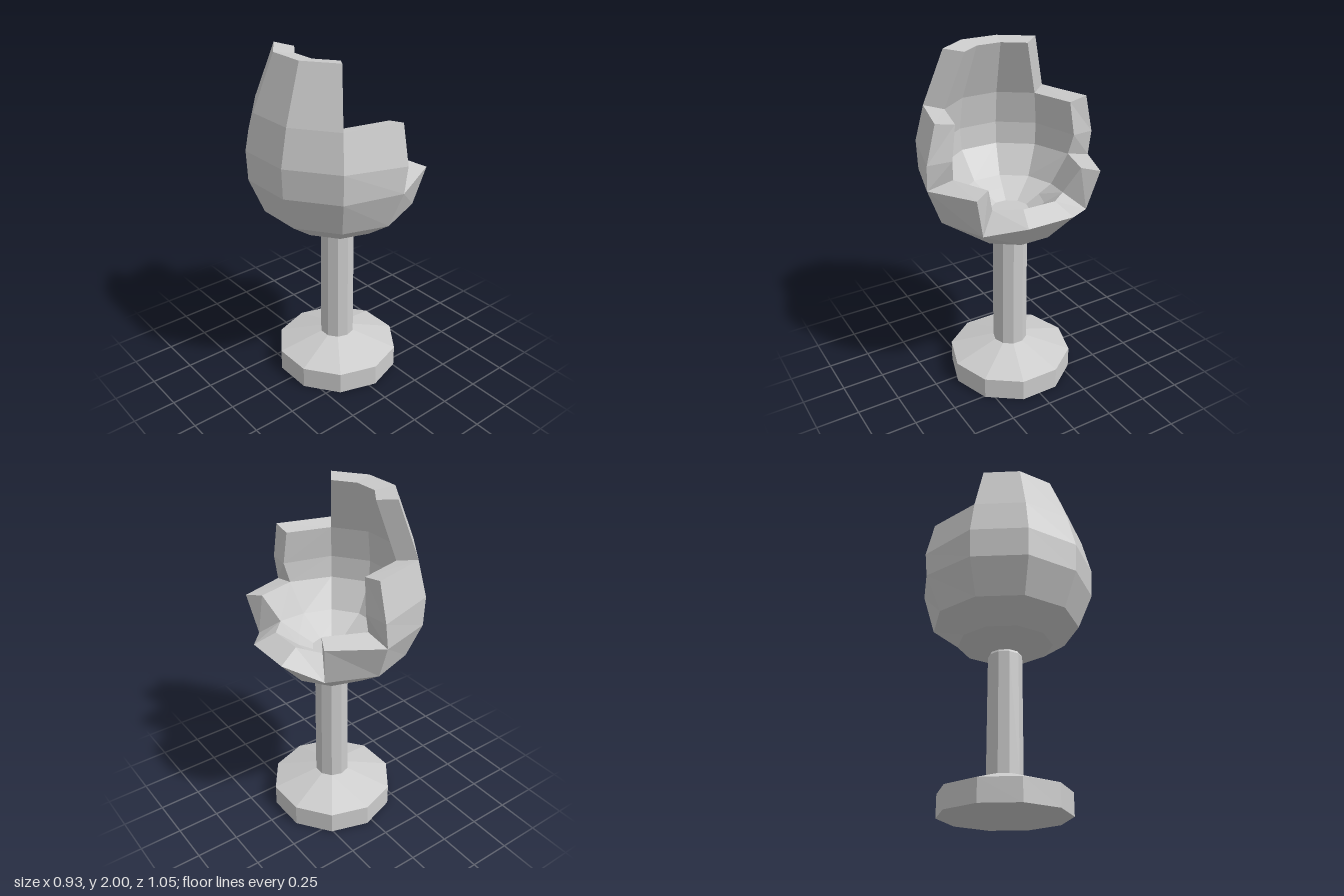
import * as THREE from 'three';

const SIDES = 10, CX = 0.04;
// Shell rings as [height, radius], bottom to top
const OUTER = [[0.94, 0.1], [1.0, 0.28], [1.11, 0.435], [1.315, 0.52], [1.485, 0.527], [1.69, 0.475], [2, 0.355]];
const INNER = [[1.09, 0.11], [1.135, 0.195], [1.18, 0.28], [1.35, 0.375], [1.48, 0.385], [1.67, 0.358], [1.985, 0.24]];
// Topmost ring of each side panel, starting beside the front panel
const TOPS = [2, 3, 5, 6, 6, 6, 5, 3, 2, 2];
// Rim corners pulled out of the regular rings, keyed by corner,ring
const OUTER_RIM = {
  '0,2': [0.465, 1.18, 0.14], '1,2': [0.32, 1.12, 0.33], '1,3': [0.36, 1.355, 0.385],
  '2,3': [0.06, 1.325, 0.52], '2,4': [0.08, 1.475, 0.523], '2,5': [0.085, 1.695, 0.47],
};
const INNER_RIM = {
  '0,2': [0.345, 1.235, 0.1], '1,2': [0.235, 1.215, 0.226], '1,3': [0.31, 1.375, 0.29],
  '2,3': [0.07, 1.36, 0.37], '2,4': [0.1, 1.48, 0.385], '2,5': [0.09, 1.675, 0.358],
};

// Corner k of ring j; corners 5 to 9 mirror 4 to 0 across z
function corner(rings, rim, k, j) {
  k %= SIDES;
  const mirrored = k > 4, m = mirrored ? 9 - k : k;
  const [y, r] = rings[j];
  const a = (18 + 36 * m) * Math.PI / 180;
  const p = rim[`${m},${j}`] || [CX + r * Math.cos(a), y, r * Math.sin(a)];
  return [p[0], p[1], mirrored ? -p[2] : p[2]];
}

function shellGeometry() {
  const pos = [];
  const tri = (a, b, c) => pos.push(...a, ...b, ...c);
  const quad = (a, b, c, d) => { tri(a, b, c); tri(a, c, d); };
  const O = (k, j) => corner(OUTER, OUTER_RIM, k, j);
  const I = (k, j) => corner(INNER, INNER_RIM, k, j);

  for (let k = 0; k < SIDES; k++) {
    const n = k + 1, top = TOPS[k], next = TOPS[n % SIDES];
    // Outside and inside faces
    for (let j = 0; j < top; j++) {
      quad(O(k, j), O(k, j + 1), O(n, j + 1), O(n, j));
      quad(I(k, j), I(n, j), I(n, j + 1), I(k, j + 1));
    }
    // Rim on top of the panel
    quad(O(k, top), I(k, top), I(n, top), O(n, top));
    // Step walls where neighbouring panels differ in height
    for (let j = Math.min(top, next); j < Math.max(top, next); j++) {
      if (top > next) quad(O(n, j), O(n, j + 1), I(n, j + 1), I(n, j));
      else quad(O(n, j), I(n, j), I(n, j + 1), O(n, j + 1));
    }
    // Underside and inner floor
    tri([CX, OUTER[0][0], 0], O(k, 0), O(n, 0));
    tri([CX, INNER[0][0], 0], I(n, 0), I(k, 0));
  }
  const g = new THREE.BufferGeometry();
  g.setAttribute('position', new THREE.Float32BufferAttribute(pos, 3));
  g.computeVertexNormals();
  return g;
}

export function createModel() {
  const group = new THREE.Group();
  const material = new THREE.MeshStandardMaterial({ color: 0xcccccc, flatShading: true });
  const add = (name, geometry, x = 0) => {
    const mesh = new THREE.Mesh(geometry, material);
    mesh.name = name;
    mesh.position.x = x;
    group.add(mesh);
  };
  const lathe = (points) =>
    new THREE.LatheGeometry(points.map(([r, y]) => new THREE.Vector2(r, y)), SIDES);

  // Stepped cup-shaped seat
  add('seatShell', shellGeometry());
  // Pedestal
  add('foot', lathe([[0, 0], [0.37, 0], [0.37, 0.13], [0.105, 0.215], [0, 0.215]]), CX);
  add('stem', lathe([[0.103, 0.2], [0.1, 0.925], [0.09, 0.945]]), CX);
  return group;
}
